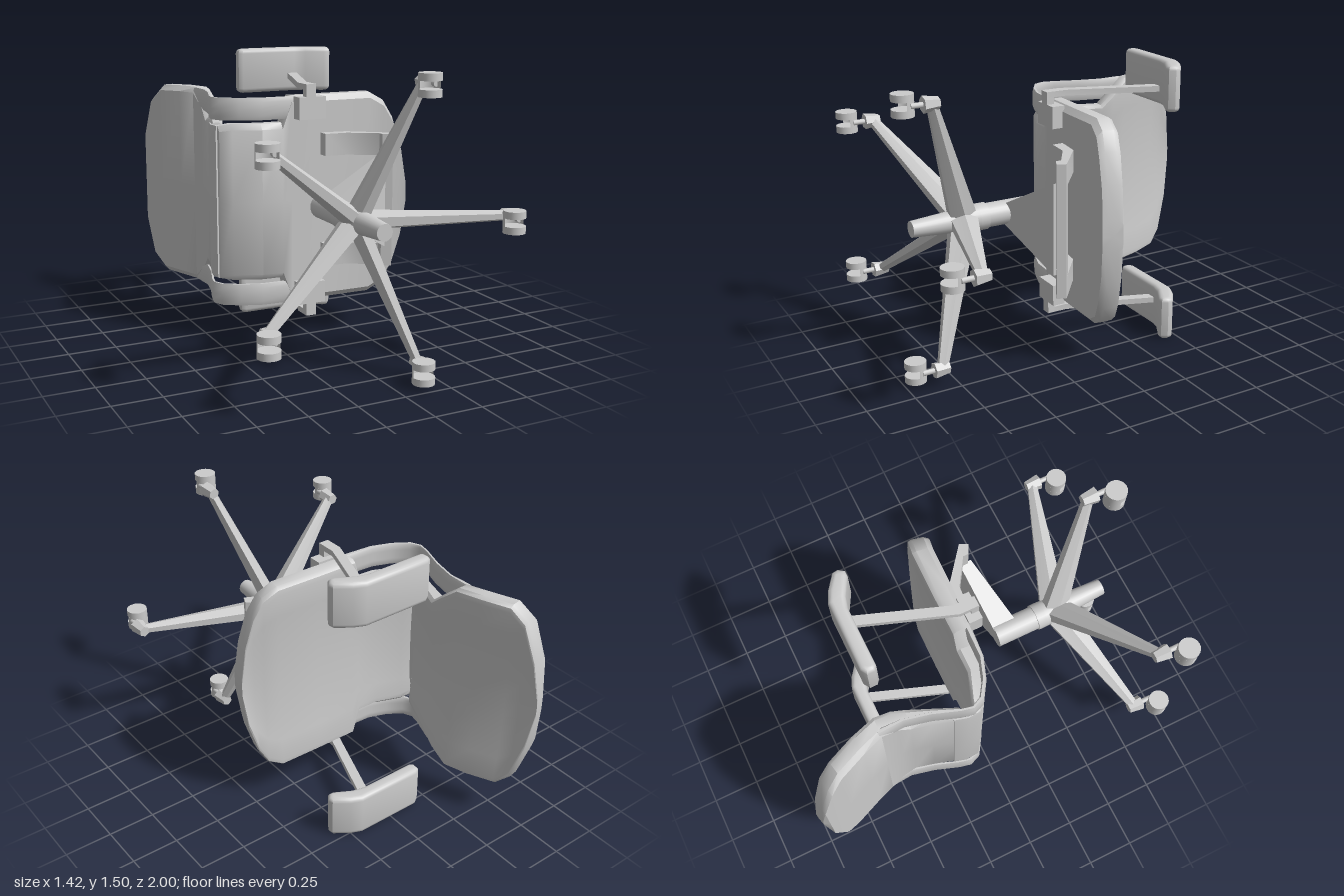
import * as THREE from 'three';
import { toCreasedNormals } from 'three/addons/utils/BufferGeometryUtils.js';

const grey = new THREE.MeshStandardMaterial({ color: 0xcccccc });
const thin = new THREE.MeshStandardMaterial({ color: 0xcccccc, side: THREE.DoubleSide });

function part(parent, name, geo, x = 0, y = 0, z = 0, mat = grey) {
  const m = new THREE.Mesh(geo, mat);
  m.name = name;
  m.position.set(x, y, z);
  parent.add(m);
  return m;
}

// Padded panel lofted along stations [face x, face y, rear x, rear y, half width]
function panel(stations, zMid = 0, dish = 0) {
  const edge = [[0, -0.5], [0, 0.5], [0.015, 0.85], [0.04, 1]]; // inset, height
  const pos = [], idx = [];
  let n = 0;
  for (const [fx, fy, rx, ry, w] of stations) {
    const k = Math.min(1, w / 0.08);
    const right = edge.map(([i, v]) => [w - i * k, v]);
    const ring = [...right];
    for (const u of [0.75, 0.5, 0.25, 0, -0.25, -0.5, -0.75]) ring.push([u * (w - 0.04 * k), 1]);
    for (const [z, v] of [...right].reverse()) ring.push([-z, v]);
    ring.push([-(w - 0.03 * k), -1], [0, -1], [w - 0.03 * k, -1]);
    n = ring.length;
    for (const [z, v] of ring) {
      const sink = v === 1 ? dish * (1 - (z / w) ** 2) * Math.min(1, w / 0.4) : 0;
      const t = (v + 1) / 2 - sink;
      pos.push(rx + (fx - rx) * t, ry + (fy - ry) * t, z + zMid);
    }
  }
  const last = stations.length - 1;
  for (let i = 0; i < last; i++)
    for (let j = 0; j < n; j++) {
      const a = i * n + j, b = i * n + (j + 1) % n;
      idx.push(a, b + n, b, a, a + n, b + n);
    }
  // end caps
  for (const i of [0, last]) {
    const c = pos.length / 3, [fx, fy, rx, ry] = stations[i];
    pos.push((fx + rx) / 2, (fy + ry) / 2, zMid);
    for (let j = 0; j < n; j++) {
      const a = i * n + j, b = i * n + (j + 1) % n;
      i ? idx.push(c, b, a) : idx.push(c, a, b);
    }
  }
  const g = new THREE.BufferGeometry();
  g.setAttribute('position', new THREE.Float32BufferAttribute(pos, 3));
  g.setIndex(idx);
  return toCreasedNormals(g, 0.7);
}

// Side profile extruded across the width, from z0 to z1
function slab(pts, z0, z1, bevel = 0) {
  const shape = new THREE.Shape(pts.map(p => new THREE.Vector2(...p)));
  const g = new THREE.ExtrudeGeometry(shape, {
    depth: z1 - z0 - 2 * bevel, bevelEnabled: bevel > 0, bevelSize: bevel,
    bevelThickness: bevel, bevelOffset: -bevel, bevelSegments: 4,
  });
  g.translate(0, 0, z0 + bevel);
  return toCreasedNormals(g, 0.7);
}

// Tapered bar along x; each end is [x, bottom y, top y, half width]
function taper(a, b, sides) {
  const g = sides
    ? new THREE.CylinderGeometry(0.5, 0.5, 1, sides).rotateZ(-Math.PI / 2)
    : new THREE.BoxGeometry(1, 1, 1);
  const p = g.attributes.position;
  for (let i = 0; i < p.count; i++) {
    const t = p.getX(i) + 0.5, e = a.map((v, k) => v + (b[k] - v) * t);
    p.setXYZ(i, e[0], e[1] + (e[2] - e[1]) * (p.getY(i) + 0.5), p.getZ(i) * 2 * e[3]);
  }
  return toCreasedNormals(g, 0.5);
}

export function createModel() {
  const model = new THREE.Group();
  const chair = new THREE.Group();
  chair.name = 'officeChair';
  model.add(chair);

  // Backrest, from its top edge down
  part(chair, 'backrest', panel([
    [-0.505, 1.0, -0.56, 0.985, 0.06], [-0.48, 0.97, -0.578, 0.955, 0.27],
    [-0.45, 0.91, -0.56, 0.89, 0.47], [-0.42, 0.84, -0.525, 0.82, 0.54],
    [-0.36, 0.7, -0.465, 0.68, 0.545], [-0.32, 0.57, -0.425, 0.57, 0.545],
    [-0.305, 0.48, -0.41, 0.48, 0.47], [-0.31, 0.41, -0.415, 0.42, 0.41],
    [-0.35, 0.32, -0.44, 0.32, 0.41], [-0.415, 0.17, -0.49, 0.16, 0.405],
  ], 0, 0.35));

  // Seat, from its rear edge to the front
  part(chair, 'seat', panel([
    [-0.49, 0.12, -0.475, 0.07, 0.4], [-0.42, 0.11, -0.42, 0.03, 0.41],
    [-0.28, 0.06, -0.28, -0.03, 0.41], [-0.16, 0.06, -0.17, -0.04, 0.41],
    [-0.12, 0.06, -0.12, -0.045, 0.545], [0.1, 0.06, 0.1, -0.055, 0.545],
    [0.35, 0.055, 0.33, -0.06, 0.545], [0.43, 0.04, 0.405, -0.075, 0.5],
    [0.48, 0.025, 0.455, -0.09, 0.41], [0.525, 0.01, 0.5, -0.1, 0.26],
    [0.55, 0, 0.525, -0.11, 0.08],
  ], 0, 0.3));

  // Thin shell bending from the seat up into the backrest
  part(chair, 'shellCentre', panel([
    [-0.46, 0.22, -0.475, 0.22, 0.4], [-0.478, 0.15, -0.495, 0.15, 0.4],
    [-0.47, 0.09, -0.49, 0.08, 0.4],
  ]));
  for (const s of [1, -1]) {
    part(chair, 'shellBand', panel([
      [-0.385, 0.58, -0.42, 0.58, 0.057], [-0.39, 0.45, -0.41, 0.45, 0.057],
      [-0.42, 0.32, -0.44, 0.32, 0.057], [-0.467, 0.19, -0.487, 0.185, 0.057],
      [-0.48, 0.13, -0.5, 0.125, 0.057], [-0.455, 0.08, -0.475, 0.065, 0.057],
      [-0.38, 0.03, -0.39, 0.01, 0.057], [-0.28, -0.005, -0.28, -0.03, 0.057],
      [-0.1, -0.01, -0.1, -0.045, 0.057],
    ], 0.487 * s));

    // Armrest: pad, bent upright and foot under the seat
    const arm = new THREE.Group();
    arm.name = s > 0 ? 'armrestA' : 'armrestB';
    chair.add(arm);
    const span = (a, b) => (s > 0 ? [a, b] : [-b, -a]);
    part(arm, 'armPad', slab([
      [-0.19, 0.48], [-0.17, 0.465], [0.14, 0.465], [0.2, 0.45], [0.29, 0.4],
      [0.32, 0.4], [0.34, 0.43], [0.335, 0.46], [0.26, 0.515], [0.2, 0.54],
      [-0.16, 0.54], [-0.19, 0.52],
    ], ...span(0.51, 0.75), 0.025));
    part(arm, 'armUpright', slab([
      [-0.07, -0.11], [-0.015, -0.11], [-0.015, 0], [0.155, 0.47], [0.1, 0.47], [-0.07, -0.01],
    ], ...span(0.58, 0.61)));
    part(arm, 'armFoot', slab([
      [-0.11, -0.11], [0.04, -0.11], [0.04, -0.04], [-0.11, -0.04],
    ], ...span(0.43, 0.545)));
    part(arm, 'armFootLink', slab([
      [-0.07, -0.11], [-0.015, -0.11], [-0.015, -0.07], [-0.07, -0.07],
    ], ...span(0.54, 0.6)));

    // Tilt linkage arm below the seat
    part(chair, 'tiltArm', slab([
      [0.04, -0.11], [0.16, -0.12], [0.3, -0.21], [0.34, -0.26], [0.37, -0.22],
      [0.18, -0.07], [0.04, -0.05],
    ], ...span(0.235, 0.35)));
  }
  part(chair, 'tiltBar', slab([
    [0.3, -0.24], [0.35, -0.265], [0.37, -0.22], [0.33, -0.19], [0.3, -0.19],
  ], -0.35, 0.35));
  part(chair, 'tiltPlate', taper([-0.04, -0.36, -0.23, 0.05], [0.31, -0.26, -0.195, 0.24]));

  // Column, hub and legs
  const base = new THREE.Group();
  base.name = 'base';
  base.position.set(-0.045, 0, 0.005);
  chair.add(base);
  part(base, 'column', new THREE.CylinderGeometry(0.063, 0.063, 0.27, 24), 0, -0.365);
  part(base, 'hub', new THREE.CylinderGeometry(0.07, 0.07, 0.05, 24), 0, -0.485);
  part(base, 'hubCone', new THREE.CylinderGeometry(0.07, 0.055, 0.16, 24), 0, -0.59);
  part(base, 'columnEnd', new THREE.CylinderGeometry(0.056, 0.042, 0.2, 24), 0, -0.765);
  const R = 0.71, wheel = new THREE.CylinderGeometry(0.055, 0.055, 0.035, 20).rotateX(Math.PI / 2);
  const hood = new THREE.CylinderGeometry(0.055, 0.055, 0.04, 12, 1, false, Math.PI / 2, Math.PI)
    .rotateX(Math.PI / 2);
  for (let i = 0; i < 5; i++) {
    const a = i * Math.PI * 2 / 5, x = R * Math.cos(a), z = R * Math.sin(a);
    part(base, 'leg', taper([0.02, -0.67, -0.5, 0.05], [R, -0.85, -0.79, 0.025], 6)).rotation.y = -a;
    part(base, 'legEnd', toCreasedNormals(new THREE.CylinderGeometry(0.03, 0.042, 0.08, 6), 0.4),
      x, -0.825, z).rotation.y = -a;

    // Twin-wheel caster, all trailing the same way
    const caster = new THREE.Group();
    caster.name = 'caster';
    caster.position.set(x - 0.045, -0.945, z);
    base.add(caster);
    for (const s of [1, -1]) part(caster, 'wheel', wheel, 0, 0, 0.037 * s);
    part(caster, 'casterHood', hood, 0, 0, 0, thin);
    part(caster, 'casterStem', new THREE.CylinderGeometry(0.014, 0.014, 0.08, 10), 0.045, 0.06);
  }

  // The chair lies on its side
  chair.rotation.x = -Math.PI / 2;
  chair.position.y = 0.75;
  return model;
}
